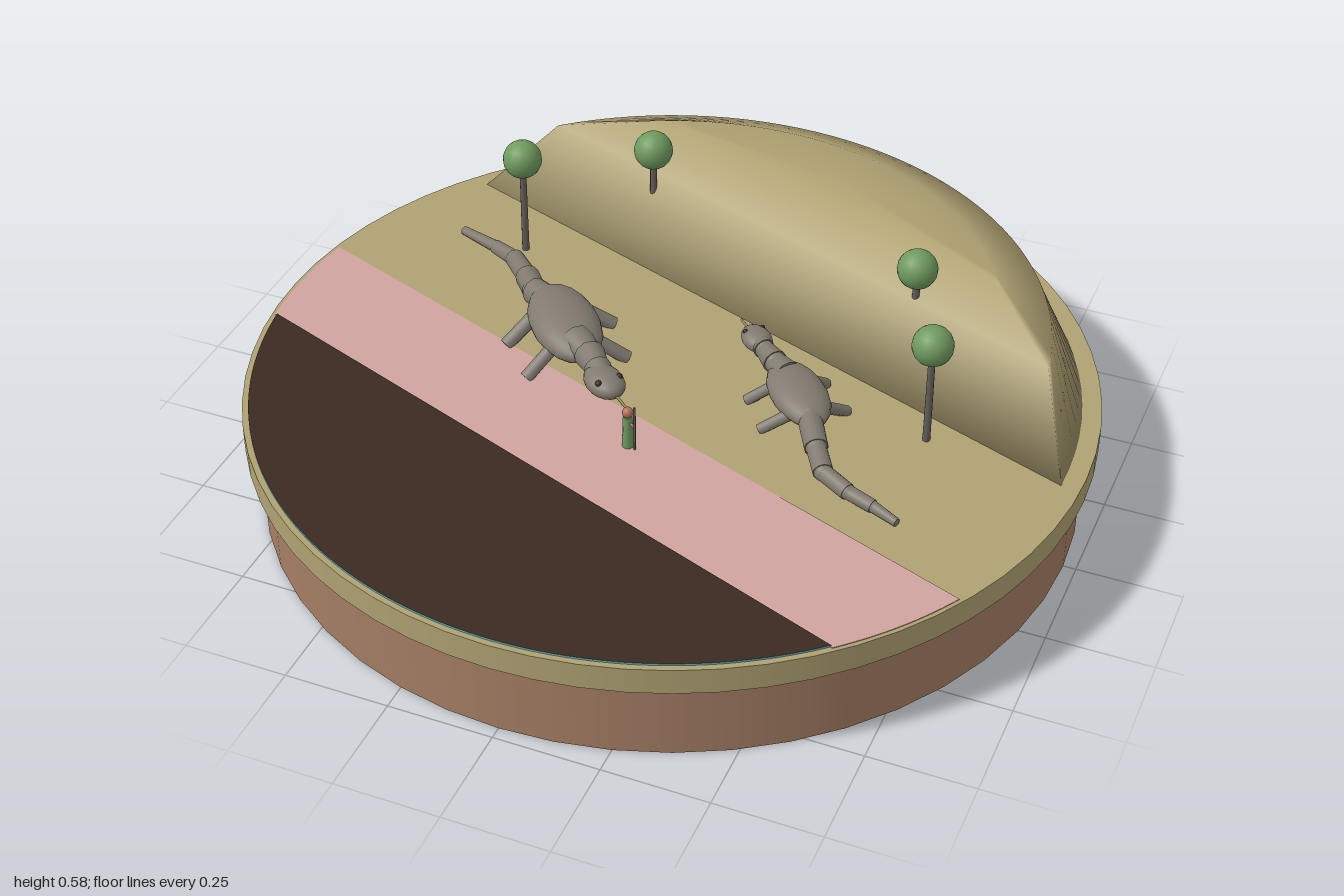
import * as THREE from 'three';

const mat = (name, color, extra = {}) => {
  const m = new THREE.MeshStandardMaterial({ color, ...extra });
  m.name = name;
  return m;
};

export function createModel() {
  const M = {
    land: mat('olive land', 0xb0a273),
    earth: mat('brown earth', 0xa57e64),
    beach: mat('pink beach', 0xd0a49e),
    sea: mat('dark sea', 0x3b2a20),
    water: mat('cyan water edge', 0x5fb8c0),
    leaf: mat('green foliage', 0x6f9a5f),
    trunk: mat('grey trunk', 0x66605a),
    hide: mat('grey hide', 0x817a70),
    skin: mat('skin', 0xb5705a),
    tongue: mat('tan tongue', 0x9a8a62),
  };
  const root = new THREE.Group();
  const V = (x, y, z) => new THREE.Vector3(x, y, z);
  const add = (name, geo, material, parent = root) => {
    const mesh = new THREE.Mesh(geo, material);
    mesh.name = name;
    parent.add(mesh);
    return mesh;
  };
  const group = (name) => {
    const g = new THREE.Group();
    g.name = name;
    root.add(g);
    return g;
  };
  // tapered rod between two points
  const rod = (name, a, b, ra, rb, material, parent, sides = 10) => {
    const m = add(name, new THREE.CylinderGeometry(rb, ra, a.distanceTo(b), sides), material, parent);
    m.position.copy(a).add(b).multiplyScalar(0.5);
    m.quaternion.setFromUnitVectors(V(0, 1, 0), b.clone().sub(a).normalize());
    return m;
  };
  const ball = (name, p, r, material, parent) => {
    const m = add(name, new THREE.SphereGeometry(r, 18, 12), material, parent);
    m.position.copy(p);
    return m;
  };

  // round base and rim
  add('base', new THREE.CylinderGeometry(0.97, 0.97, 0.2, 48), M.earth).position.y = 0.1;
  add('landRim', new THREE.CylinderGeometry(1, 1, 0.065, 64), M.land).position.y = 0.2325;

  // ground bands, all turned by 20 degrees
  const terrain = group('terrain');
  terrain.rotation.y = -Math.PI / 9;
  const band = (name, R, from, to, depth, materials) => {
    const t0 = Math.asin(from / R), t1 = Math.asin(to / R), n = 40, right = [], left = [];
    for (let i = 0; i <= n; i++) {
      const t = t0 + (t1 - t0) * i / n;
      right.push(new THREE.Vector2(R * Math.cos(t), -R * Math.sin(t)));
      if (i < n || to < R) left.unshift(new THREE.Vector2(-R * Math.cos(t), -R * Math.sin(t)));
    }
    const geo = new THREE.ExtrudeGeometry(new THREE.Shape([...right, ...left]), { depth, bevelEnabled: false });
    geo.rotateX(-Math.PI / 2);
    add(name, geo, materials, terrain).position.y = 0.265;
  };
  band('beach', 0.99, 0.168, 0.465, 0.002, M.beach);
  band('sea', 0.985, 0.463, 0.985, 0.005, [M.sea, M.water]);

  // hill: three nested circle segments, smoothly joined
  const rings = [[0.955, 0.285, 0.264], [0.87, 0.41, 0.447], [0.75, 0.54, 0.505]];
  const n = 40, pos = [], idx = [];
  for (const [R, d, y] of rings) {
    const t0 = Math.asin(d / R);
    for (let i = 0; i < n; i++) {
      const t = t0 + (Math.PI - 2 * t0) * i / (n - 1);
      pos.push(R * Math.cos(t), y, -R * Math.sin(t));
    }
  }
  pos.push(0, 0.505, -0.62, 0, 0.264, -0.6);
  const top = rings.length * n;
  for (let i = 0; i < n; i++) {
    const j = (i + 1) % n;
    for (let k = 0; k < rings.length - 1; k++) {
      const a = k * n, b = a + n;
      idx.push(a + i, a + j, b + j, a + i, b + j, b + i);
    }
    idx.push(top, 2 * n + i, 2 * n + j, top + 1, j, i);
  }
  const hill = new THREE.BufferGeometry();
  hill.setAttribute('position', new THREE.Float32BufferAttribute(pos, 3));
  hill.setIndex(idx);
  hill.computeVertexNormals();
  add('hill', hill, M.land, terrain);

  // trees
  for (const [x, z, y0] of [[-0.54, -0.35, 0.265], [-0.26, -0.51, 0.38], [0.5, -0.27, 0.43], [0.625, 0, 0.265]]) {
    const tree = group('tree');
    rod('trunk', V(x, y0, z), V(x, 0.51, z), 0.009, 0.008, M.trunk, tree);
    ball('crown', V(x, 0.53, z), 0.048, M.leaf, tree);
  }

  // lizards: tail and neck follow points [x, y, z, radius]; body is an ellipsoid
  const lizard = (s, body, angle, tail, neck, tongueTip) => {
    const g = group('lizard');
    const chain = (name, pts) => pts.slice(1).forEach((q, i) => {
      const p = pts[i];
      rod(name, V(p[0], p[1], p[2]), V(q[0], q[1], q[2]), p[3], q[3] * 0.85, M.hide, g, 12);
      ball(name + 'Joint', V(q[0], q[1], q[2]), q[3] * 0.9, M.hide, g);
    });
    chain('tail', tail);
    chain('neck', neck);
    const [hx, hy, hz] = neck[neck.length - 1];
    const tip = V(...tongueTip), headPos = V(hx, hy, hz);
    const yaw = Math.atan2(-(tip.z - hz), tip.x - hx);

    const trunk = new THREE.Group();
    trunk.position.copy(body);
    trunk.rotation.y = angle;
    trunk.scale.setScalar(s);
    g.add(trunk);
    trunk.name = 'torso';
    ball('body', V(0, 0, 0), 1, M.hide, trunk).scale.set(0.155, 0.047, 0.082);
    const floor = (0.267 - body.y) / s;
    for (const side of [-1, 1]) {
      rod('frontLeg', V(0.07, -0.01, side * 0.05), V(0.095, floor, side * 0.125), 0.017, 0.017, M.hide, trunk, 8);
      rod('backLeg', V(-0.07, -0.01, side * 0.05), V(-0.045, floor, side * 0.135), 0.019, 0.017, M.hide, trunk, 8);
    }

    // head with eyes and tongue
    const head = new THREE.Group();
    head.name = 'head';
    head.position.copy(headPos);
    head.rotation.y = yaw;
    head.scale.setScalar(s);
    g.add(head);
    ball('skull', V(0, 0, 0), 1, M.hide, head).scale.set(0.062, 0.03, 0.044);
    for (const side of [-1, 1]) ball('eye', V(0.022, 0.018, side * 0.027), 0.008, M.sea, head);
    rod('tongue', headPos, tip, 0.004, 0.003, M.tongue, g, 6);
  };
  lizard(1, V(-0.28, 0.332, -0.015), -0.86,
    [[-0.71, 0.277, -0.35, 0.011], [-0.6, 0.284, -0.305, 0.018], [-0.53, 0.293, -0.265, 0.024],
      [-0.46, 0.305, -0.19, 0.03], [-0.41, 0.318, -0.125, 0.034], [-0.34, 0.328, -0.08, 0.042]],
    [[-0.22, 0.335, 0.05, 0.045], [-0.17, 0.342, 0.09, 0.037], [-0.13, 0.345, 0.135, 0.033], [-0.095, 0.345, 0.175, 0.03]],
    [-0.01, 0.335, 0.24]);
  lizard(0.8, V(0.32, 0.318, 0.015), Math.PI - 0.86,
    [[0.66, 0.275, 0.315, 0.01], [0.595, 0.28, 0.288, 0.016], [0.53, 0.287, 0.27, 0.02],
      [0.46, 0.295, 0.235, 0.024], [0.42, 0.304, 0.17, 0.028], [0.37, 0.315, 0.08, 0.034]],
    [[0.27, 0.32, -0.04, 0.036], [0.23, 0.325, -0.07, 0.03], [0.19, 0.327, -0.105, 0.026], [0.16, 0.328, -0.135, 0.024]],
    [0.096, 0.322, -0.2]);

  // small person with a stick
  const person = group('person');
  rod('clothes', V(0.008, 0.265, 0.28), V(0.008, 0.35, 0.28), 0.014, 0.011, M.leaf, person);
  ball('face', V(0.008, 0.361, 0.28), 0.013, M.skin, person);
  rod('arm', V(0.008, 0.335, 0.28), V(0.028, 0.33, 0.288), 0.004, 0.004, M.skin, person, 6);
  rod('stick', V(0.028, 0.265, 0.288), V(0.028, 0.385, 0.288), 0.003, 0.003, M.trunk, person, 6);

  return root;
}
